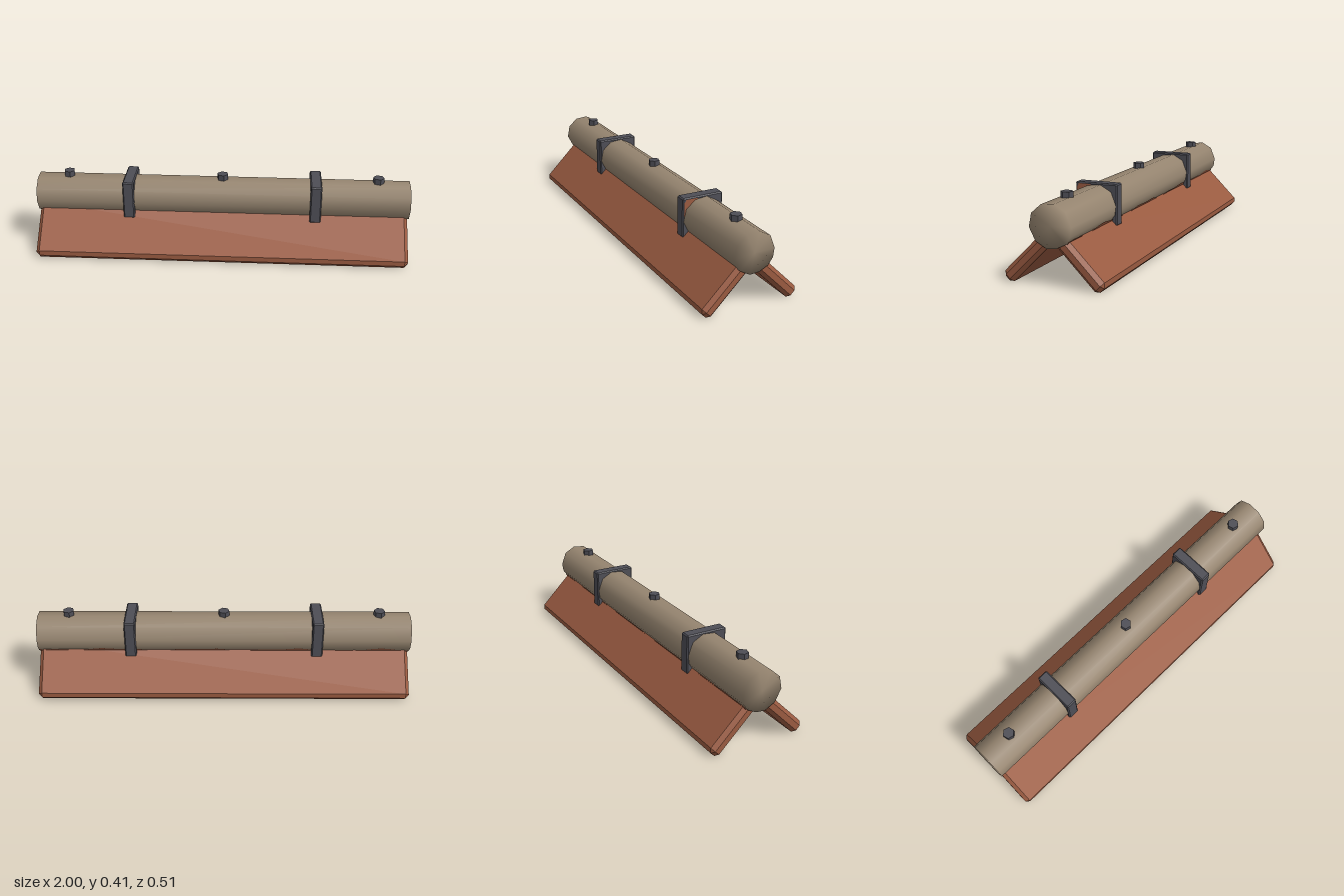
import * as THREE from 'three';
import { ConvexGeometry } from 'three/addons/geometries/ConvexGeometry.js';

const wood = new THREE.MeshStandardMaterial({ color: 0x9a5b41 });
wood.name = 'red brown boards';
const bark = new THREE.MeshStandardMaterial({ color: 0x968570 });
bark.name = 'grey brown log';
const iron = new THREE.MeshStandardMaterial({ color: 0x4e4e56 });
iron.name = 'dark iron';

// Box with every edge cut at 45 degrees
function chamferBox(w, h, d, c) {
  const pts = [];
  for (const sx of [-1, 1]) for (const sy of [-1, 1]) for (const sz of [-1, 1]) {
    const x = w / 2, y = h / 2, z = d / 2;
    pts.push(
      new THREE.Vector3(sx * x, sy * (y - c), sz * (z - c)),
      new THREE.Vector3(sx * (x - c), sy * y, sz * (z - c)),
      new THREE.Vector3(sx * (x - c), sy * (y - c), sz * z));
  }
  return new ConvexGeometry(pts);
}

// Uneven log section as [z, y], running from the top towards -z
const SECTION = [
  [0.045, 0.383], [-0.022, 0.39], [-0.08, 0.358], [-0.106, 0.29], [-0.1, 0.245], [-0.076, 0.21],
  [-0.03, 0.187], [0.02, 0.182], [0.075, 0.212], [0.107, 0.275], [0.094, 0.34],
];

// Log with shared corners, so the shading rolls over the ends
function logGeometry() {
  const n = SECTION.length, pos = [], idx = [];
  for (const x of [-1, 1]) for (const [z, y] of SECTION) pos.push(x, y, z);
  pos.push(-1, 0.287, 0, 1, 0.287, 0);
  for (let i = 0; i < n; i++) {
    const j = (i + 1) % n;
    idx.push(i, n + i, n + j, i, n + j, j);
    idx.push(2 * n, i, j, 2 * n + 1, n + j, n + i);
  }
  // Keep every face turned outward
  const p = (k) => new THREE.Vector3().fromArray(pos, k * 3);
  const mid = new THREE.Vector3(0, 0.287, 0);
  for (let k = 0; k < idx.length; k += 3) {
    const a = p(idx[k]), b = p(idx[k + 1]), c = p(idx[k + 2]);
    const normal = b.clone().sub(a).cross(c.clone().sub(a));
    if (normal.dot(a.sub(mid)) < 0) [idx[k + 1], idx[k + 2]] = [idx[k + 2], idx[k + 1]];
  }
  const g = new THREE.BufferGeometry();
  g.setAttribute('position', new THREE.Float32BufferAttribute(pos, 3));
  g.setIndex(idx);
  g.computeVertexNormals();
  return g;
}

// Wavy stain on the rear lower side of the log, just above the board
function stainGeometry() {
  const pos = [], idx = [], steps = 60;
  for (let i = 0; i <= steps; i++) {
    const x = -0.995 + 1.99 * i / steps;
    const t = 0.5 + 0.26 * Math.sin(x * 13) + 0.16 * Math.sin(x * 29 + 1);
    for (const s of [0, t]) pos.push(x, 0.21 + 0.035 * s - 0.002, -0.076 - 0.024 * s - 0.003);
    if (i < steps) {
      const b = 2 * i;
      idx.push(b, b + 1, b + 3, b, b + 3, b + 2);
    }
  }
  const g = new THREE.BufferGeometry();
  g.setAttribute('position', new THREE.Float32BufferAttribute(pos, 3));
  g.setIndex(idx);
  g.computeVertexNormals();
  return g;
}

export function createModel() {
  const model = new THREE.Group();
  model.name = 'roofRidge';
  const add = (name, geometry, material, x = 0, y = 0, z = 0) => {
    const mesh = new THREE.Mesh(geometry, material);
    mesh.name = name;
    mesh.position.set(x, y, z);
    model.add(mesh);
    return mesh;
  };

  // Ridge log and its stain
  add('ridgeLog', logGeometry(), bark);
  add('logStain', stainGeometry(), wood);

  // Two sloping boards
  const board = chamferBox(1.985, 0.067, 0.318, 0.019);
  for (const s of [1, -1]) {
    const mesh = add(s > 0 ? 'frontBoard' : 'backBoard', board, wood, 0, 0.1245, s * 0.13);
    mesh.rotation.x = s * Math.PI / 4;
  }

  // Iron straps
  const strap = chamferBox(0.06, 0.208, 0.224, 0.006);
  for (const x of [-0.5, 0.5]) add(x < 0 ? 'rightStrap' : 'leftStrap', strap, iron, x, 0.294, 0);

  // Rust patch on the side of one strap
  const patch = new THREE.Shape([
    [-0.105, 0.305], [-0.03, 0.3], [-0.03, 0.391], [-0.094, 0.391], [-0.098, 0.38], [-0.105, 0.375],
  ].map(([x, y]) => new THREE.Vector2(x, y)));
  add('strapRust', new THREE.ShapeGeometry(patch), wood, 0.532, 0, 0).rotation.y = Math.PI / 2;

  // Bolt heads along the top
  const bolt = new THREE.CylinderGeometry(0.03, 0.03, 0.046, 6).toNonIndexed();
  bolt.computeVertexNormals();
  for (const x of [-0.833, 0, 0.833]) add('bolt', bolt, iron, x, 0.393, 0).rotation.y = 0.25;

  return model;
}
